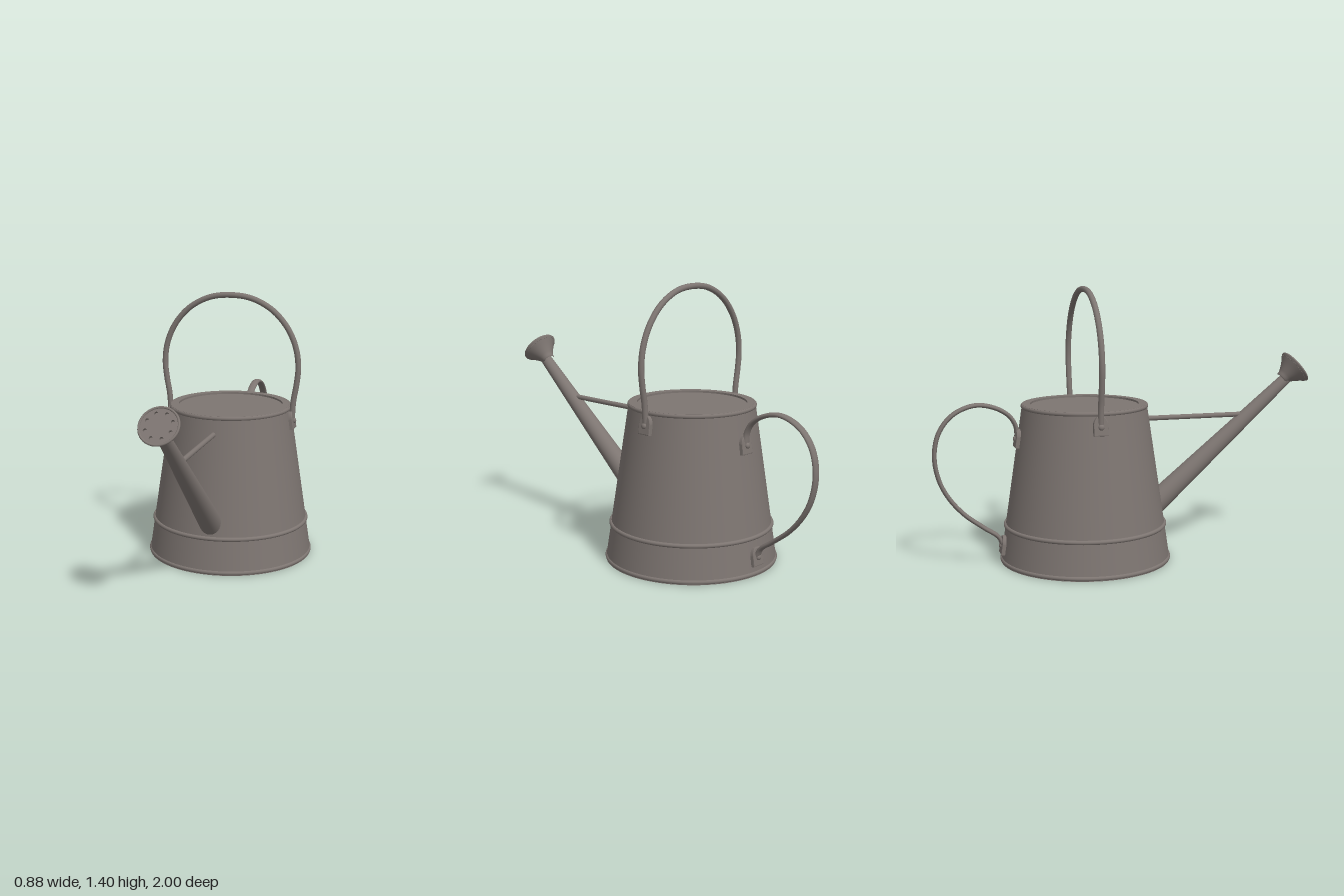
import * as THREE from 'three';

const V = (x, y, z) => new THREE.Vector3(x, y, z);
const CENTER_Z = -0.222;                         // axis of the can body
const wallRadius = (y) => 0.436 - 0.148 * y;     // tapered wall

export function createModel() {
  const model = new THREE.Group();
  model.name = 'wateringCan';
  const metal = new THREE.MeshStandardMaterial({ color: 0x7d7571 });
  metal.name = 'grey metal';

  const add = (name, geometry, parent = model) => {
    const mesh = new THREE.Mesh(geometry, metal);
    mesh.name = name;
    parent.add(mesh);
    return mesh;
  };
  const disc = (shape, depth, bevel = 0) => new THREE.ExtrudeGeometry(shape, {
    depth, curveSegments: 48, bevelEnabled: bevel > 0,
    bevelSize: bevel, bevelThickness: bevel, bevelOffset: -bevel, bevelSegments: 2,
  });
  const circle = (r, x = 0, y = 0) => new THREE.Path().absarc(x, y, r, 0, Math.PI * 2, true);

  // Tapered body with floor and lid
  const body = new THREE.Group();
  body.name = 'body';
  body.position.z = CENTER_Z;
  model.add(body);
  add('wall', new THREE.CylinderGeometry(wallRadius(0.8), wallRadius(0), 0.8, 96, 1, true), body).position.y = 0.4;
  const floor = add('floor', new THREE.CircleGeometry(0.438, 96), body);
  floor.rotation.x = Math.PI / 2;
  floor.position.y = 0.001;
  const lid = add('lid', new THREE.CircleGeometry(0.28, 96), body);
  lid.rotation.x = -Math.PI / 2;
  lid.position.y = 0.798;
  const rimShape = new THREE.Shape().absarc(0, 0, 0.318, 0, Math.PI * 2);
  rimShape.holes.push(circle(0.276));
  const rim = add('lidRim', disc(rimShape, 0.014), body);
  rim.rotation.x = -Math.PI / 2;
  rim.position.y = 0.794;

  // Rolled beads around the body
  for (const [name, y, r, tube] of [
    ['bottomBead', 0.012, 0.428, 0.012],
    ['middleBead', 0.186, 0.408, 0.011],
    ['topBead', 0.797, 0.312, 0.012],
  ]) {
    const bead = add(name, new THREE.TorusGeometry(r, tube, 12, 96), body);
    bead.rotation.x = Math.PI / 2;
    bead.position.y = y;
  }

  // Tapered spout
  const spoutStart = V(0, 0.205, 0.09), spoutEnd = V(0, 0.9, 0.886);
  const spoutDir = spoutEnd.clone().sub(spoutStart);
  const spout = add('spout', new THREE.CylinderGeometry(0.03, 0.062, spoutDir.length(), 40));
  spout.position.copy(spoutStart).add(spoutEnd).multiplyScalar(0.5);
  spout.quaternion.setFromUnitVectors(V(0, 1, 0), spoutDir.normalize());

  // Flared sprinkler head with a perforated face
  const head = new THREE.Group();
  head.name = 'sprinklerHead';
  head.position.set(0, 0.957, 0.935);
  head.rotation.x = THREE.MathUtils.degToRad(51);
  model.add(head);
  const flare = [[0.03, -0.1], [0.035, -0.095], [0.036, -0.085], [0.043, -0.072],
    [0.058, -0.05], [0.075, -0.028], [0.09, -0.012], [0.096, -0.003]];
  add('flare', new THREE.LatheGeometry(flare.map((p) => new THREE.Vector2(...p)), 48), head);
  const headRim = add('headRim', new THREE.TorusGeometry(0.091, 0.006, 10, 48), head);
  headRim.rotation.x = Math.PI / 2;
  const face = new THREE.Shape().absarc(0, 0, 0.09, 0, Math.PI * 2);
  for (let i = 0; i < 8; i++) {
    const a = (i + 0.5) * Math.PI / 4;
    face.holes.push(circle(0.009, 0.064 * Math.cos(a), 0.064 * Math.sin(a)));
  }
  const plate = add('perforatedFace', disc(face, 0.014), head);
  plate.rotation.x = -Math.PI / 2;
  plate.position.y = -0.013;
  const backing = add('faceBacking', new THREE.CircleGeometry(0.085, 48), head);
  backing.rotation.x = -Math.PI / 2;
  backing.position.y = -0.012;

  // Strut between body and spout
  const strut = add('spoutStrut', new THREE.CylinderGeometry(0.013, 0.013, 0.54, 20));
  strut.rotation.x = Math.PI / 2;
  strut.position.set(0, 0.714, 0.35);

  // Carrying hoop over the top
  const half = [[0.334, 0.745], [0.34, 0.84], [0.355, 0.93], [0.363, 1.02], [0.349, 1.12],
    [0.305, 1.22], [0.225, 1.31], [0.115, 1.368]];
  const hoop = [...half.map(([x, y]) => V(x, y, CENTER_Z)), V(0, 1.383, CENTER_Z),
    ...half.map(([x, y]) => V(-x, y, CENTER_Z)).reverse()];
  add('topHandle', new THREE.TubeGeometry(new THREE.CatmullRomCurve3(hoop), 120, 0.015, 14));

  // Rear grip, a rounded strap wider than it is thick
  const grip = [[0.65, -0.572], [0.705, -0.578], [0.757, -0.61], [0.8, -0.68], [0.817, -0.78],
    [0.775, -0.89], [0.69, -0.96], [0.575, -0.986], [0.45, -0.967], [0.355, -0.92],
    [0.267, -0.845], [0.19, -0.745], [0.14, -0.675], [0.095, -0.653]].map(([y, z]) => V(0, y, z));
  const strap = new THREE.TubeGeometry(new THREE.CatmullRomCurve3(grip), 120, 0.0115, 14);
  strap.scale(1.8, 1, 1);
  add('rearHandle', strap);

  // Riveted brackets holding the handle ends
  const bracketShape = new THREE.Shape();
  bracketShape.moveTo(-0.037, -0.043).lineTo(0.037, -0.043).lineTo(0.037, 0.012);
  bracketShape.quadraticCurveTo(0.034, 0.035, 0.018, 0.05);
  bracketShape.lineTo(-0.018, 0.05);
  bracketShape.quadraticCurveTo(-0.034, 0.035, -0.037, 0.012);
  for (const [name, angle, y] of [
    ['leftBracket', Math.PI / 2, 0.735], ['rightBracket', -Math.PI / 2, 0.735],
    ['upperRearBracket', Math.PI, 0.638], ['lowerRearBracket', Math.PI, 0.092],
  ]) {
    const bracket = new THREE.Group();
    bracket.name = name;
    const r = wallRadius(y);
    bracket.position.set(r * Math.sin(angle), y, CENTER_Z + r * Math.cos(angle));
    bracket.rotation.set(-Math.atan(0.148), angle, 0, 'YXZ');
    model.add(bracket);
    add('bracketPlate', disc(bracketShape, 0.018, 0.004), bracket).position.z = -0.004;
    const rivet = add('rivet', new THREE.SphereGeometry(0.015, 20, 12), bracket);
    rivet.scale.z = 0.7;
    rivet.position.z = 0.019;
  }
  return model;
}
